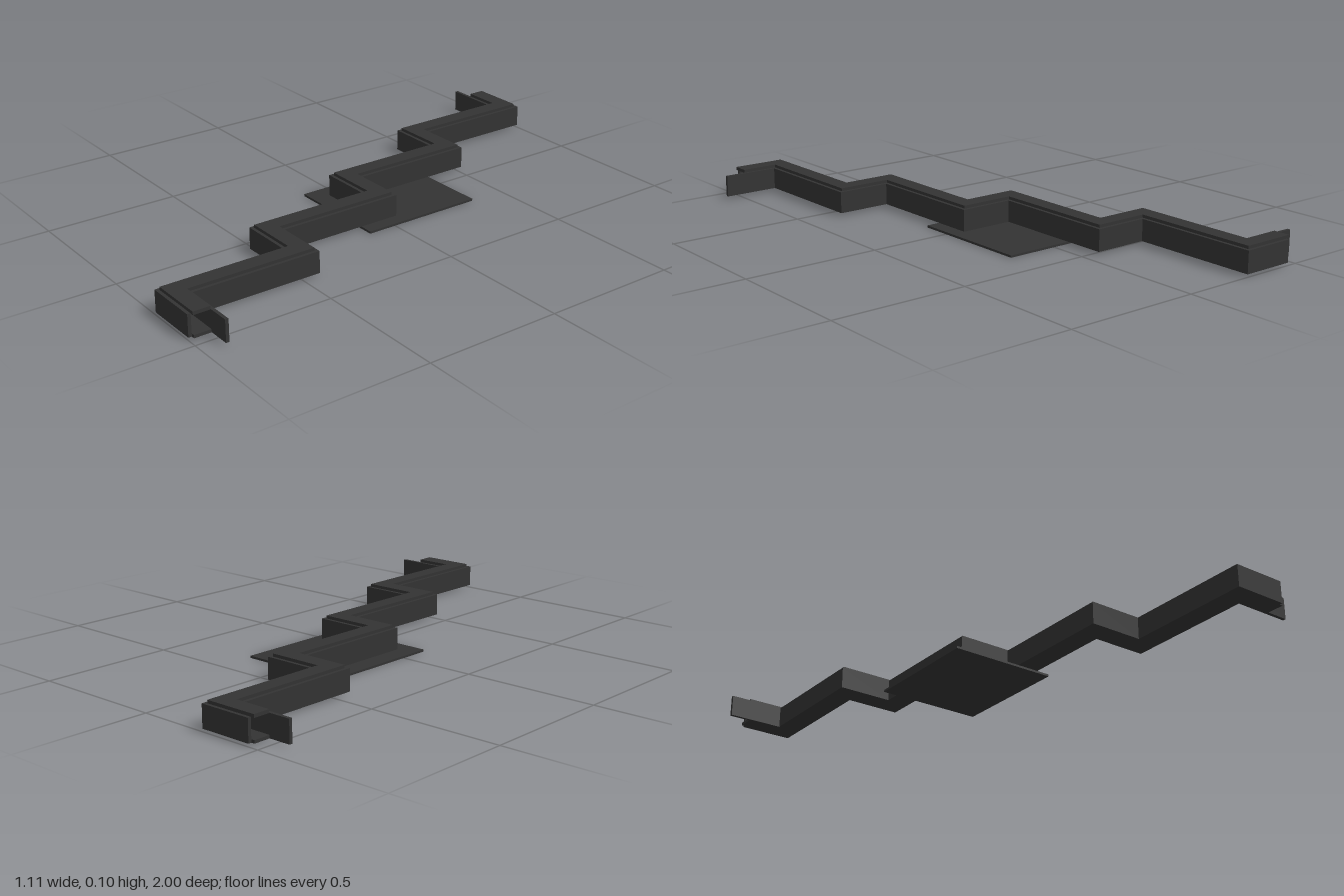
import * as THREE from 'three';

const HALF = 0.043;   // half width of the channel
const WALL = 0.012;   // wall thickness
const STEP_X = [-0.306, -0.102, 0.102, 0.306];
const STEP_Z = [-0.957, -0.4785, 0, 0.4785, 0.957];

// Staircase line in plan, shifted sideways by d, from x0 to x1
function zigzag(d, x0, x1) {
  const points = [[x0, STEP_Z[0] - d]];
  STEP_X.forEach((x, i) => {
    points.push([x + d, STEP_Z[i] - d], [x + d, STEP_Z[i + 1] - d]);
  });
  points.push([x1, STEP_Z[4] - d]);
  return points;
}

// Solid strip between two sideways offsets, standing from y0 to y1
function strip(name, material, dA, dB, x0, x1, y0, y1) {
  const outline = [...zigzag(dA, x0, x1), ...zigzag(dB, x0, x1).reverse()];
  const shape = new THREE.Shape(outline.map(([x, z]) => new THREE.Vector2(x, -z)));
  const geometry = new THREE.ExtrudeGeometry(shape, { depth: y1 - y0, bevelEnabled: false });
  geometry.rotateX(-Math.PI / 2).translate(0, y0, 0);
  const mesh = new THREE.Mesh(geometry, material);
  mesh.name = name;
  return mesh;
}

export function createModel() {
  const group = new THREE.Group();
  group.name = 'zigzagChannel';
  const dark = new THREE.MeshStandardMaterial({ color: 0x333333 });

  // Side walls, each running past the channel at one end
  group.add(strip('backWall', dark, HALF - WALL, HALF, -0.462, 0.557, 0.01, 0.09));
  group.add(strip('frontWall', dark, -HALF, WALL - HALF, -0.557, 0.462, 0.01, 0.09));

  // Floor and raised top between the walls, leaving the ends open
  const inner = HALF - WALL;
  group.add(strip('floor', dark, -inner, inner, -0.475, 0.475, 0.01, 0.021));
  group.add(strip('top', dark, -inner, inner, -0.475, 0.475, 0.089, 0.101));

  // Thin base plate under the middle
  const plate = new THREE.Mesh(new THREE.BoxGeometry(0.405, 0.008, 0.47), dark);
  plate.name = 'basePlate';
  plate.position.set(-0.009, 0.004, -0.125);
  group.add(plate);

  return group;
}
